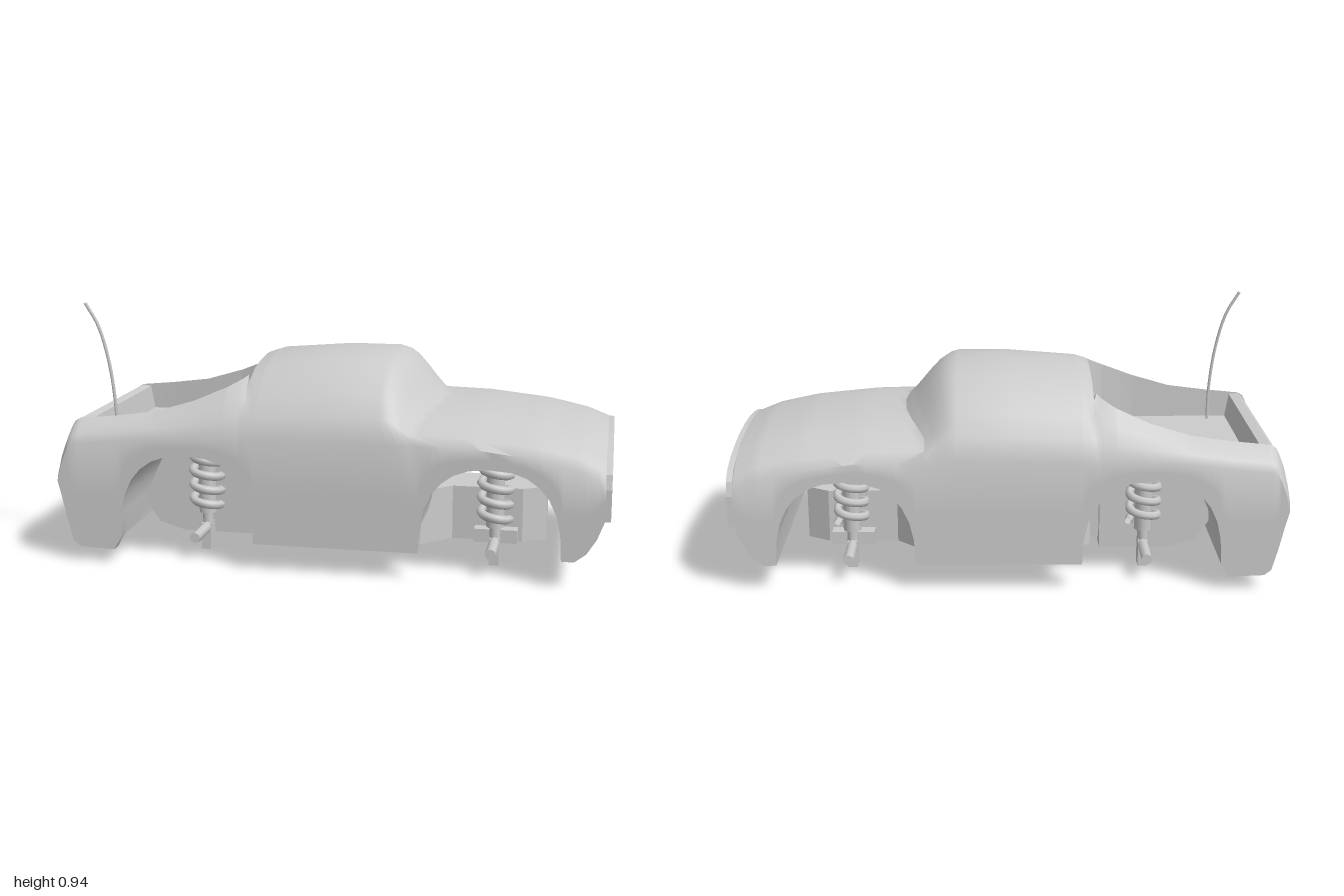
import * as THREE from 'three';
import { toCreasedNormals } from 'three/addons/utils/BufferGeometryUtils.js';

const grey = new THREE.MeshStandardMaterial({ color: 0xcccccc, side: THREE.DoubleSide });
const lerp = THREE.MathUtils.lerp;

function add(parent, name, geometry, x = 0, y = 0, z = 0) {
  const mesh = new THREE.Mesh(geometry, grey);
  mesh.name = name;
  mesh.position.set(x, y, z);
  parent.add(mesh);
  return mesh;
}

// Half cross-sections run from the centre line out to the shoulder.
const HALF = 0.435;
const coverZ = [0, 0.11, 0.21, 0.29, 0.345, 0.405, HALF];
const coverRise = [1, 0.97, 0.9, 0.76, 0.55, 0.31, 0];

// Roof, windscreen or bonnet: domed section
const cover = (x, top, shoulder) => ({ x, z: coverZ, y: coverRise.map((k) => lerp(shoulder, top, k)) });

// Open bed: flat floor, upright inner wall, then a rail sloping to the shoulder.
function bed(x, rail, inner, floor = 0.425) {
  const drop = rail - Math.min(0.475, rail - 0.08);
  const out = HALF - inner;
  return {
    x,
    z: [0, 0.15, inner, inner, inner + out * 0.48, inner + out * 0.8, HALF],
    y: [floor, floor, floor, rail, rail - drop * 0.32, rail - drop * 0.62, rail - drop],
  };
}

const tailSections = [
  bed(-1, 0.38, 0.36, 0.3), bed(-0.985, 0.44, 0.355, 0.25), bed(-0.965, 0.49, 0.355, 0.26),
  bed(-0.955, 0.51, 0.35, 0.5), bed(-0.935, 0.522, 0.35, 0.52), bed(-0.9, 0.525, 0.35, 0.515),
  bed(-0.885, 0.527, 0.35),
];
const bedSections = [
  bed(-0.8, 0.535, 0.35), bed(-0.65, 0.555, 0.345), bed(-0.5, 0.6, 0.34),
  bed(-0.38, 0.65, 0.315), bed(-0.33, 0.677, 0.28), bed(-0.315, 0.688, 0.262),
];
const cabinSections = [
  cover(-0.305, 0.73, 0.475), cover(-0.26, 0.745, 0.478), cover(0, 0.767, 0.485), cover(0.19, 0.767, 0.485),
  cover(0.225, 0.757, 0.485), cover(0.26, 0.733, 0.485), cover(0.3, 0.69, 0.485), cover(0.345, 0.637, 0.485),
];
const hoodSections = [
  cover(0.385, 0.595, 0.485), cover(0.55, 0.59, 0.48), cover(0.75, 0.567, 0.457),
  cover(0.9, 0.535, 0.42), cover(0.98, 0.505, 0.38),
];
const sections = [...tailSections, ...bedSections, ...cabinSections, ...hoodSections];

// Sweeps the windscreen corners back around its base line.
const sweep = (x, z) => {
  const reach = x < 0.385 ? (x - 0.18) / 0.205 : (0.8 - x) / 0.415;
  return 0.085 * Math.max(0, reach) * Math.min(1, z / 0.35) ** 2;
};

// Wheel arch as a squarish half ellipse, from rear to front.
const arch = (cx) => Array.from({ length: 15 }, (_, i) => {
  const a = Math.PI * (1 - i / 14), c = Math.cos(a);
  return [cx + 0.25 * Math.sign(c) * Math.abs(c) ** 0.8, 0.1 + 0.313 * Math.abs(Math.sin(a)) ** 0.8];
});

// Lower edge of the body side
const tailEdge = [[-1, 0.3], [-0.985, 0.24], [-0.965, 0.15], [-0.945, 0.075], [-0.92, 0.055], [-0.79, 0.05]];
const noseEdge = [[0.88, 0.1], [0.92, 0.13], [0.955, 0.185], [0.98, 0.25]];
const lowerEdge = [...tailEdge, ...arch(-0.512), ...arch(0.585), ...noseEdge];

// Finds the pair around x and blends the two with mix(a, b, t).
function between(list, x, getX, mix) {
  let i = 1;
  while (i < list.length - 1 && getX(list[i]) < x) i++;
  const a = list[i - 1], b = list[i];
  return mix(a, b, (x - getX(a)) / (getX(b) - getX(a)));
}

function bodyGeometry() {
  const stations = [...new Set([...sections.map((s) => s.x), ...lowerEdge.map((p) => p[0])])].sort((a, b) => a - b);
  const positions = [], index = [];
  let n = 0;
  for (const x of stations) {
    const low = between(lowerEdge, x, (p) => p[0], (a, b, t) => lerp(a[1], b[1], t));
    const half = between(sections, x, (s) => s.x, (a, b, t) => a.z.map((za, k) => {
      const z = lerp(za, b.z[k], t);
      return [z, Math.max(low, lerp(a.y[k], b.y[k], t)), k < 6 ? x - sweep(x, z) : x];
    }));
    const [edge, shoulder] = half[6];
    // Hollow behind the sills, raised between the rear skirts
    const ceiling = Math.max(low, x > -0.27 && x < 0.34 ? 0.265 : 0.1);
    half.push([edge, lerp(shoulder, low, 0.5), x], [edge, low, x], [0.395, low, x], [0.385, ceiling, x], [0, ceiling, x]);
    const loop = [...half, ...half.slice(1, -1).reverse().map(([z, y, px]) => [-z, y, px])];
    n = loop.length;
    loop.forEach(([z, y, px]) => positions.push(px, y, z));
  }
  for (let i = 0; i < stations.length - 1; i++) {
    for (let j = 0; j < n; j++) {
      const a = i * n + j, b = i * n + (j + 1) % n;
      index.push(a, b, b + n, a, b + n, a + n);
    }
  }
  // End caps
  const last = (stations.length - 1) * n, rear = positions.length / 3;
  positions.push(-1, 0.3, 0, 0.98, 0.36, 0);
  for (let j = 0; j < n; j++) {
    const k = (j + 1) % n;
    index.push(rear, k, j, rear + 1, last + j, last + k);
  }
  const geometry = new THREE.BufferGeometry();
  geometry.setAttribute('position', new THREE.Float32BufferAttribute(positions, 3));
  geometry.setIndex(index);
  return toCreasedNormals(geometry, 0.78);
}

// Symmetric outline from points on one half, ordered from one end to the other.
const mirrored = (pts) => [...pts, ...pts.slice().reverse().map(([u, v]) => [-u, v])].map(([u, v]) => new THREE.Vector2(u, v));

// Extrudes a front-face outline (z, y) along x.
function facePlate(outline, hole, depth) {
  const shape = new THREE.Shape(outline);
  if (hole) shape.holes.push(new THREE.Path(hole));
  return new THREE.ExtrudeGeometry(shape, { depth, bevelEnabled: false }).rotateY(Math.PI / 2);
}

function buildFace(car) {
  const face = new THREE.Group();
  face.name = 'frontFace';
  car.add(face);
  const rim = (top, side, bottom) => mirrored([
    [0.001, top + 0.003], [0.12, top], [0.22, top - 0.012], [0.31, top - 0.028], [side - 0.05, top - 0.053],
    [side - 0.015, top - 0.085], [side, top - 0.135], [side, bottom],
  ]);
  add(face, 'grilleFrame', facePlate(rim(0.498, HALF, 0.25), rim(0.477, 0.415, 0.256), 0.022), 0.978);
  const dividerLine = [[0.135, 0.468], [0.15, 0.4], [0.175, 0.32], [0.205, 0.254]];
  add(face, 'grillePanel', facePlate(mirrored(dividerLine), null, 0.01), 0.976);
  for (const s of [1, -1]) {
    const dome = new THREE.SphereGeometry(0.08, 16, 6, 0, Math.PI * 2, 0, Math.PI / 2).scale(1, 0.24, 1).rotateZ(-Math.PI / 2);
    add(face, 'headlight', dome, 0.98, 0.353, 0.302 * s);
    const lamp = new THREE.SphereGeometry(0.025, 12, 4, 0, Math.PI * 2, 0, Math.PI / 2).scale(1, 0.5, 1).rotateZ(-Math.PI / 2);
    add(face, 'markerLight', lamp, 0.98, 0.425, 0.193 * s);
    add(face, 'markerRim', new THREE.TorusGeometry(0.025, 0.004, 6, 12).rotateY(Math.PI / 2), 0.982, 0.425, 0.193 * s);
    const curve = new THREE.CatmullRomCurve3(dividerLine.map(([z, y]) => new THREE.Vector3(0.983, y, z * s)));
    add(face, 'grilleDivider', new THREE.TubeGeometry(curve, 10, 0.004, 5));
  }
}

function buildChassis(car) {
  const chassis = new THREE.Group();
  chassis.name = 'chassis';
  car.add(chassis);
  // Faceted floor pan
  const pan = mirrored([[0.055, 0.765], [0.105, 0.68], [0.105, 0.42], [0.26, 0.26], [0.26, -0.2], [0.14, -0.31]]);
  const panShape = new THREE.Shape(pan.map((p) => new THREE.Vector2(p.y, p.x)));
  const panGeometry = new THREE.ExtrudeGeometry(panShape, { depth: 0.202, bevelEnabled: false }).rotateX(Math.PI / 2);
  add(chassis, 'floorPan', panGeometry, 0, 0.267, 0);
  // Rear gearbox housing
  const outline = [[-0.69, 0.34], [-0.77, 0.17], [-0.71, 0.08], [-0.61, 0.05], [-0.345, 0.05], [-0.345, 0.275], [-0.41, 0.34]];
  const housing = new THREE.Shape(outline.map(([x, y]) => new THREE.Vector2(x, y)));
  add(chassis, 'rearHousing', new THREE.ExtrudeGeometry(housing, { depth: 0.28, bevelEnabled: false }), 0, 0, -0.14);
  add(chassis, 'housingLink', new THREE.BoxGeometry(0.06, 0.13, 0.2), -0.325, 0.14, 0);
}

function buildSuspension(car, x, s, front) {
  const unit = new THREE.Group();
  unit.name = 'suspension';
  unit.position.set(x, 0, 0.18 * s);
  car.add(unit);
  const coilPoints = [];
  for (let i = 0; i <= 48; i++) {
    const a = (i / 12) * Math.PI * 2;
    coilPoints.push(new THREE.Vector3(Math.cos(a) * 0.053, 0.17 + 0.22 * i / 48, Math.sin(a) * 0.053));
  }
  add(unit, 'coilSpring', new THREE.TubeGeometry(new THREE.CatmullRomCurve3(coilPoints), 96, 0.016, 6));
  add(unit, 'damper', new THREE.CylinderGeometry(0.033, 0.033, 0.27, 8), 0, 0.275, 0);
  add(unit, 'damperRod', new THREE.CylinderGeometry(0.02, 0.02, 0.12, 8), 0, 0.12, 0);
  add(unit, 'hubCarrier', new THREE.BoxGeometry(0.036, 0.1, 0.06), 0, 0.05, 0);
  add(unit, 'wheelStub', new THREE.CylinderGeometry(0.02, 0.02, 0.2, 8).rotateX(Math.PI / 2), 0, 0.085, 0.075 * s);
  if (front) add(unit, 'lowerArm', new THREE.BoxGeometry(0.16, 0.05, 0.05), 0, 0.095, -0.05 * s);
}

export function createModel() {
  const car = new THREE.Group();
  car.name = 'pickupCar';
  add(car, 'bodyShell', bodyGeometry());
  buildFace(car);
  buildChassis(car);
  for (const s of [1, -1]) {
    buildSuspension(car, -0.505, s, false);
    buildSuspension(car, 0.585, s, true);
  }
  // Bent whip antenna in the corner of the bed
  const whipLine = [[-0.808, 0.42], [-0.81, 0.55], [-0.83, 0.72], [-0.868, 0.86], [-0.915, 0.942]];
  const whip = new THREE.CatmullRomCurve3(whipLine.map(([x, y]) => new THREE.Vector3(x, y, 0.31)));
  add(car, 'antenna', new THREE.TubeGeometry(whip, 20, 0.006, 6));
  return car;
}
